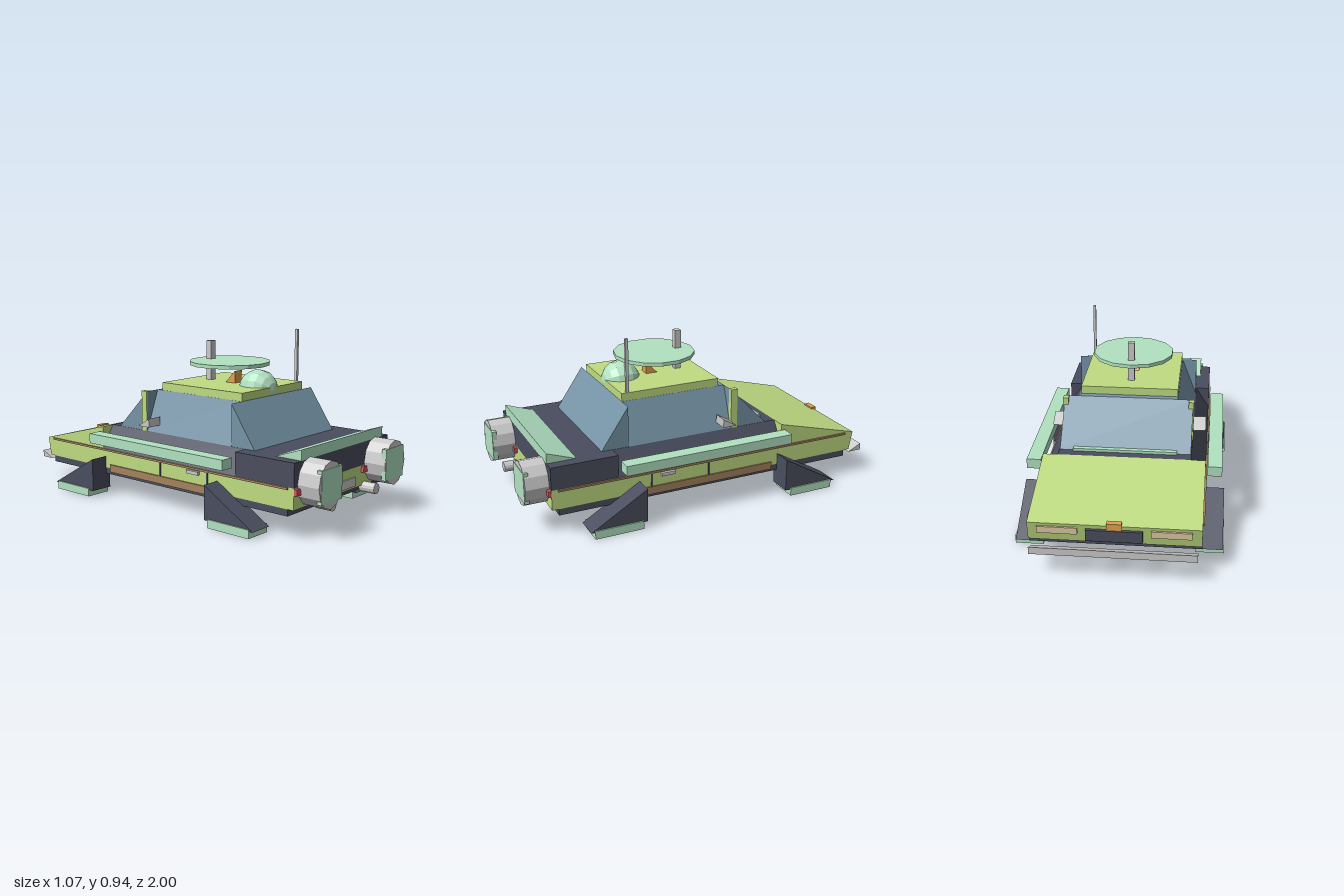
import * as THREE from 'three';

const mat = (color) => new THREE.MeshStandardMaterial({ color, flatShading: true });
const M = {
  lime: mat(0xbfdc82), dark: mat(0x4a4d5e), glass: mat(0x7694a8), mint: mat(0xb2e2c2),
  grey: mat(0xcccccc), brown: mat(0xa5835f), red: mat(0xe0525f), orange: mat(0xe0a050), cream: mat(0xdcc8a0),
};

export function createModel() {
  const model = new THREE.Group();

  const add = (name, geometry, material) => {
    const mesh = new THREE.Mesh(geometry, material);
    mesh.name = name;
    model.add(mesh);
    return mesh;
  };
  // Box given by its limits on each axis
  const box = (name, m, x0, x1, y0, y1, z0, z1) =>
    add(name, new THREE.BoxGeometry(x1 - x0, y1 - y0, z1 - z0)
      .translate((x0 + x1) / 2, (y0 + y1) / 2, (z0 + z1) / 2), m);
  const extrude = (points, depth) => new THREE.ExtrudeGeometry(
    new THREE.Shape(points.map(([a, b]) => new THREE.Vector2(a, b))), { depth, bevelEnabled: false });
  // Side profile of [z, y] points, spanning x0..x1
  const sideProfile = (name, m, x0, x1, points) =>
    add(name, extrude(points, x1 - x0).rotateY(-Math.PI / 2).translate(x1, 0, 0), m);
  // Symmetric cross-section, wide below and narrow above, spanning z0..z1
  const taper = (name, m, wide, narrow, y0, y1, z0, z1) =>
    add(name, extrude([[-wide, y0], [wide, y0], [narrow, y1], [-narrow, y1]], z1 - z0).translate(0, 0, z0), m);
  // The same box or profile on both sides
  const span = (s, a, b) => (s > 0 ? [a, b] : [-b, -a]);

  // Hull
  box('underbody', M.dark, -0.428, 0.428, 0.118, 0.153, -0.87, 0.84);
  sideProfile('lowerBodyAndHood', M.lime, -0.428, 0.428,
    [[0.875, 0.153], [0.875, 0.262], [-0.445, 0.262], [-0.445, 0.385], [-0.925, 0.257], [-0.905, 0.153]]);
  box('rearDeck', M.dark, -0.428, 0.428, 0.262, 0.385, 0.515, 0.875);
  taper('slopedShoulders', M.dark, 0.428, 0.35, 0.262, 0.385, -0.445, 0.515);
  sideProfile('spoiler', M.mint, -0.37, 0.37, [[0.72, 0.385], [0.875, 0.385], [0.875, 0.44]]);

  // Cabin
  taper('sideWindows', M.glass, 0.35, 0.265, 0.385, 0.605, -0.17, 0.425);
  sideProfile('windshield', M.glass, -0.348, 0.348, [[-0.17, 0.385], [-0.17, 0.605], [-0.385, 0.385]]);
  sideProfile('rearWindow', M.glass, -0.348, 0.348, [[0.425, 0.385], [0.575, 0.385], [0.425, 0.605]]);
  box('roof', M.lime, -0.264, 0.264, 0.605, 0.648, -0.135, 0.425);
  box('windshieldSill', M.mint, -0.275, 0.275, 0.38, 0.4, -0.398, -0.372);

  // Roof equipment
  add('dish', new THREE.CylinderGeometry(0.223, 0.223, 0.02, 14).translate(0, 0.755, 0.125), M.mint);
  box('dishMast', M.grey, -0.018, 0.018, 0.648, 0.866, -0.03, 0.005);
  box('antenna', M.grey, 0.247, 0.262, 0.64, 0.936, 0.383, 0.399);
  add('sensorDome', new THREE.SphereGeometry(0.105, 12, 8).rotateX(Math.PI / 2).translate(0, 0.63, 0.325), M.mint);
  sideProfile('roofFin', M.orange, -0.03, 0.03, [[0.185, 0.648], [0.185, 0.715], [0.12, 0.648]]);

  for (const s of [1, -1]) {
    const side = s > 0 ? 'left' : 'right';
    const b = (name, m, x0, x1, ...rest) => box(side + name, m, ...span(s, x0, x1), ...rest);
    const p = (name, m, x0, x1, points) => sideProfile(side + name, m, ...span(s, x0, x1), points);

    // Cabin pillar and mirror
    b('Pillar', M.lime, 0.325, 0.354, 0.385, 0.605, -0.207, -0.17);
    p('Mirror', M.grey, 0.335, 0.42, [[-0.09, 0.425], [-0.09, 0.472], [-0.17, 0.425]]);

    // Side rail, trim and doors
    b('Rail', M.mint, 0.439, 0.515, 0.303, 0.357, -0.46, 0.505);
    b('Trim', M.brown, 0.42, 0.436, 0.25, 0.261, -0.87, 0.84);
    b('Rocker', M.brown, 0.42, 0.436, 0.133, 0.175, -0.385, 0.36);
    for (const z of [0, 0.333]) b('DoorSeam', M.dark, 0.42, 0.433, 0.175, 0.25, z - 0.005, z + 0.005);
    b('DoorHandle', M.grey, 0.42, 0.444, 0.227, 0.245, 0.2, 0.28);

    // Landing legs and feet
    p('FrontLeg', M.dark, 0.4, 0.53, [[0.4, 0.035], [0.71, 0.035], [0.4, 0.217]]);
    p('RearLeg', M.dark, 0.4, 0.53, [[-0.425, 0.035], [-0.425, 0.217], [-0.74, 0.035]]);
    b('FrontFoot', M.mint, 0.39, 0.537, 0, 0.045, 0.425, 0.69);
    b('RearFoot', M.mint, 0.39, 0.537, 0, 0.045, -0.715, -0.455);

    // Thruster, exhaust and tail light
    add(side + 'Thruster', new THREE.CylinderGeometry(1, 1, 0.135, 12).rotateX(Math.PI / 2)
      .scale(0.101, 0.12, 1).translate(s * 0.298, 0.274, 0.93), M.grey);
    b('ThrusterPlate', M.mint, 0.205, 0.38, 0.19, 0.357, 0.975, 1);
    add(side + 'Exhaust', new THREE.CylinderGeometry(0.029, 0.029, 0.09, 12).rotateX(Math.PI / 2)
      .translate(s * 0.203, 0.143, 0.905), M.grey);
    b('TailLight', M.red, 0.17, 0.425, 0.225, 0.257, 0.86, 0.89);

    // Headlight
    b('Headlight', M.cream, 0.18, 0.38, 0.205, 0.24, -0.932, -0.88);
  }

  // End details
  box('rearPlate', M.grey, -0.11, 0.11, 0.165, 0.213, 0.86, 0.882);
  box('grille', M.dark, -0.14, 0.14, 0.175, 0.235, -0.937, -0.88);
  box('noseMarker', M.orange, -0.037, 0.037, 0.235, 0.272, -0.932, -0.9);
  sideProfile('bumper', M.grey, -0.41, 0.41, [[-0.92, 0.125], [-1, 0.125], [-1, 0.163]]);

  return model;
}
